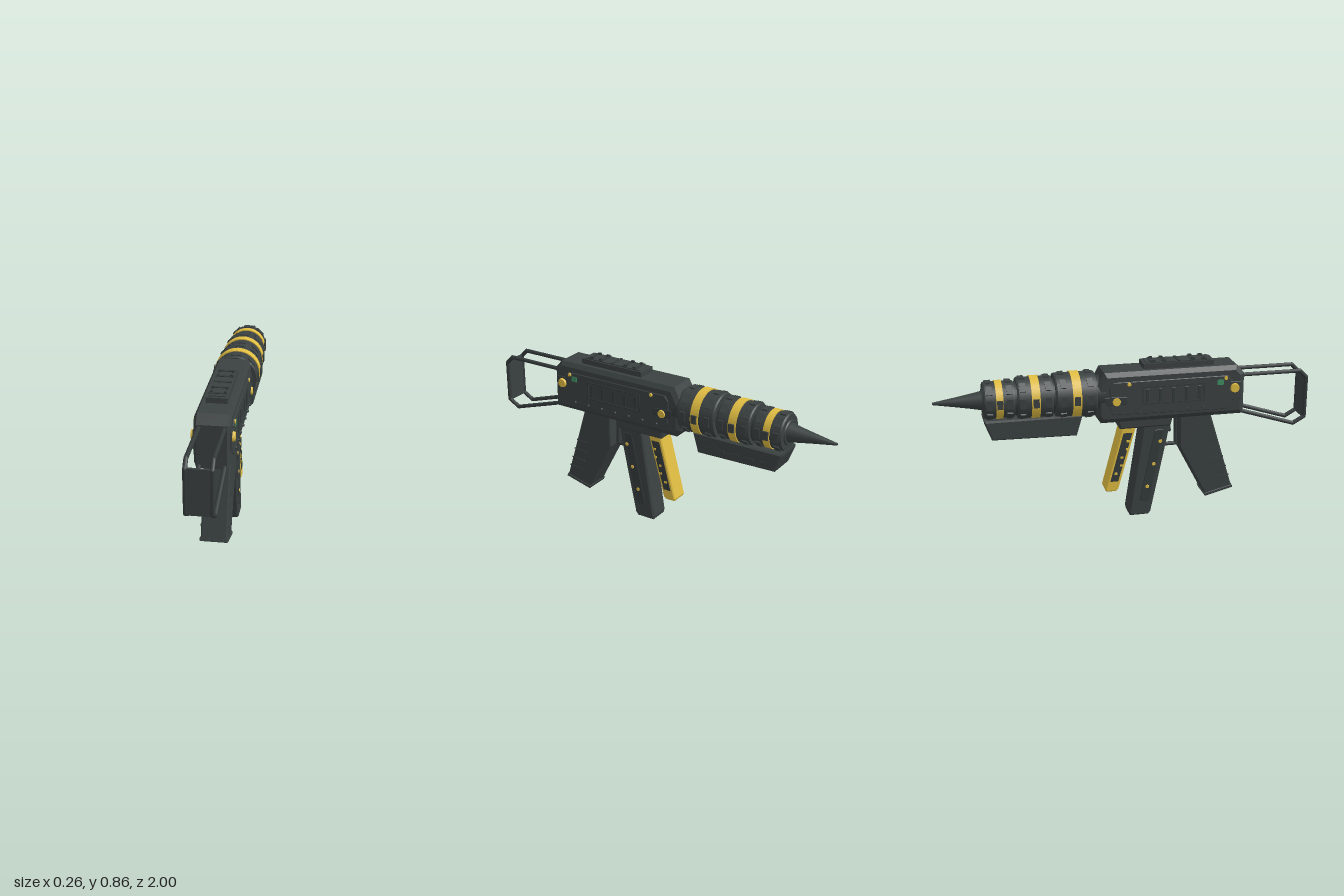
import * as THREE from 'three';

const mat = (name, color) => {
  const m = new THREE.MeshStandardMaterial({ color });
  m.name = name;
  return m;
};

export function createModel() {
  const gun = new THREE.Group();
  const metal = mat('gunmetal', 0x3b4141);
  const dark = mat('dark metal', 0x343a3a);
  const gold = mat('gold', 0xe0bd42);
  const green = mat('green light', 0x3f8f63);

  const add = (name, geo, m) => {
    const mesh = new THREE.Mesh(geo, m);
    mesh.name = name;
    gun.add(mesh);
    return mesh;
  };
  const box = (name, m, w, h, d, x, y, z) => {
    const b = add(name, new THREE.BoxGeometry(w, h, d), m);
    b.position.set(x, y, z);
    return b;
  };
  // Side outline of [z, y] points, extruded across x from x0 to x1
  const side = (name, m, pts, x0, x1, bevel = 0, bevelSize = bevel) => {
    const shape = new THREE.Shape(pts.map(p => new THREE.Vector2(p[0], p[1])));
    const geo = new THREE.ExtrudeGeometry(shape, {
      depth: x1 - x0 - 2 * bevel, bevelEnabled: bevel > 0, bevelThickness: bevel,
      bevelSize, bevelOffset: -bevelSize, bevelSegments: 1,
    });
    geo.rotateY(-Math.PI / 2);
    geo.translate(x1 - bevel, 0, 0);
    return add(name, geo, m);
  };
  // Same thin plate on both flanks
  const plates = (name, m, pts, x, t, bevel = 0) => {
    side(name + 'Left', m, pts, x, x + t, bevel);
    side(name + 'Right', m, pts, -x - t, -x, bevel);
  };
  const rect = (z0, z1, y0, y1) => [[z0, y0], [z1, y0], [z1, y1], [z0, y1]];
  // Round stud on both flanks
  const studs = (name, m, r, h, x, y, z, n = 10) => {
    for (const s of [-1, 1]) {
      const c = add(name, new THREE.CylinderGeometry(r * 0.85, r, h, n), m);
      c.rotation.z = -s * Math.PI / 2;
      c.position.set(s * (x + h / 2), y, z);
    }
  };
  const drum = (name, m, r0, r1, z0, z1, y) => {
    const geo = new THREE.CylinderGeometry(r1, r0, z1 - z0, 32);
    geo.rotateX(Math.PI / 2);
    geo.translate(0, y, (z0 + z1) / 2);
    return add(name, geo, m);
  };
  // Bent rod through a list of [x, y, z] points
  const rod = (name, m, r, pts) => {
    const v = pts.map(p => new THREE.Vector3(...p));
    v.forEach((p, i) => {
      add(name + 'Joint', new THREE.SphereGeometry(r, 10, 8), m).position.copy(p);
      if (!i) return;
      const d = p.clone().sub(v[i - 1]);
      const c = add(name, new THREE.CylinderGeometry(r, r, d.length(), 10), m);
      c.position.copy(p).add(v[i - 1]).multiplyScalar(0.5);
      c.quaternion.setFromUnitVectors(new THREE.Vector3(0, 1, 0), d.normalize());
    });
  };

  // Receiver
  side('receiver', metal, [[0.63, 0.55], [0.63, 0.775], [0.59, 0.82], [-0.125, 0.82],
    [-0.168, 0.74], [-0.168, 0.585], [-0.145, 0.55]], -0.09, 0.09, 0.016, 0.024);
  side('lowerReceiver', metal, [[0.25, 0.57], [0.235, 0.505], [-0.04, 0.505], [-0.055, 0.57]], -0.07, 0.07, 0.008);
  plates('receiverPanel', metal, [[0.555, 0.6], [0.555, 0.745], [0.535, 0.77], [-0.08, 0.77],
    [-0.1, 0.745], [-0.1, 0.615], [-0.08, 0.595], [0.535, 0.585]], 0.086, 0.009, 0.003);
  plates('ventFrameTop', dark, rect(0.07, 0.41, 0.733, 0.74), 0.095, 0.004);
  plates('ventFrameBottom', dark, rect(0.07, 0.41, 0.642, 0.649), 0.095, 0.004);
  for (const z of [0.07, 0.403]) plates('ventFrameEnd', dark, rect(z, z + 0.007, 0.642, 0.74), 0.095, 0.004);
  for (let i = 0; i < 5; i++) {
    const z = 0.1 + i * 0.07;
    plates('ventSlot', dark, rect(z - 0.009, z + 0.009, 0.655, 0.728), 0.095, 0.004, 0.002);
  }
  plates('rearCatch', metal, rect(0.535, 0.61, 0.635, 0.735), 0.088, 0.006, 0.002);
  plates('frontCatch', dark, [[-0.005, 0.65], [-0.01, 0.69], [-0.13, 0.695], [-0.115, 0.65]], 0.094, 0.006, 0.002);
  plates('greenLight', green, rect(0.478, 0.512, 0.722, 0.75), 0.094, 0.004);
  studs('largeStud', gold, 0.027, 0.016, 0.09, 0.7, 0.575, 12);
  studs('largeStud', gold, 0.024, 0.014, 0.093, 0.668, -0.065, 12);
  studs('smallStud', gold, 0.011, 0.007, 0.094, 0.757, 0.525);
  studs('smallStud', gold, 0.011, 0.007, 0.094, 0.757, 0.003);
  for (let i = 0; i < 7; i++) studs('lowerRivet', metal, 0.008, 0.01, 0.093, 0.603, -0.03 + i * 0.087, 8);

  // Top rail
  box('topRail', metal, 0.106, 0.03, 0.38, 0, 0.833, 0.28);
  box('topRailStep', metal, 0.088, 0.008, 0.35, 0, 0.849, 0.28);
  for (let i = 0; i < 5; i++) box('railRib', dark, 0.09, 0.008, 0.014, 0, 0.853, 0.135 + i * 0.0725);
  for (const z of [0.145, 0.2, 0.36, 0.415])
    for (const x of [-0.034, 0.034]) box('railKnob', dark, 0.012, 0.012, 0.018, x, 0.857, z);

  // Barrel drums: radius, ends, band centre and half width, lug spacing
  const by = 0.695;
  drum('barrelCore', dark, 0.085, 0.095, -0.735, -0.12, by);
  for (const [r, z0, z1, zb, half, gap] of [[0.119, -0.38, -0.166, -0.272, 0.023, 0.07],
    [0.109, -0.575, -0.392, -0.483, 0.022, 0.065], [0.096, -0.745, -0.587, -0.666, 0.018, 0.051]]) {
    drum('barrelDrum', metal, r - 0.004, r, z0, z0 + 0.008, by);
    drum('barrelDrum', metal, r, r, z0 + 0.008, z1 - 0.008, by);
    drum('barrelDrum', metal, r, r - 0.004, z1 - 0.008, z1, by);
    drum('goldBand', gold, r + 0.005, r + 0.005, zb - half, zb + half, by);
    for (let i = 0; i < 8; i++) {
      const a = i * Math.PI / 4;
      const lug = (dz, w, l, h) => {
        const b = box('barrelLug', metal, h, w, l, Math.cos(a) * r, by + Math.sin(a) * r, zb + dz);
        b.rotation.z = a;
      };
      lug(-gap, 0.05, 0.03, 0.009);
      lug(gap, 0.05, 0.03, 0.009);
      // Clasps over the band on the two flanks only
      if (i % 4 === 0) lug(0, 0.045, 0.03, 0.022);
    }
  }
  // Muzzle spike
  drum('muzzleCollar', metal, 0.06, 0.07, -0.752, -0.735, by);
  const spike = new THREE.LatheGeometry([[0, -1], [0.006, -1], [0.025, -0.885], [0.038, -0.81], [0.051, -0.745]]
    .map(p => new THREE.Vector2(p[0], p[1])), 24);
  spike.rotateX(Math.PI / 2);
  add('muzzleSpike', spike, metal).position.y = by;

  // Fore-end under the barrel
  side('foreEnd', metal, [[-0.24, 0.605], [-0.245, 0.585], [-0.272, 0.493], [-0.712, 0.5], [-0.747, 0.59], [-0.747, 0.605]],
    -0.085, 0.085, 0.012, 0.008);
  for (let i = 0; i < 5; i++) {
    const z = -0.33 - i * 0.08;
    plates('foreEndSlot', metal, rect(z - 0.022, z + 0.022, 0.53, 0.545), 0.083, 0.004);
  }

  // Magazine
  side('magazine', metal, [[0.45, 0.57], [0.285, 0.57], [0.288, 0.375], [0.437, 0.09], [0.584, 0.13]], -0.067, 0.067, 0.006);
  side('magazineFoot', metal, [[0.585, 0.137], [0.59, 0.121], [0.435, 0.082], [0.427, 0.098]], -0.072, 0.072, 0.003);
  [0.36, 0.302, 0.244, 0.19].forEach(y => {
    const z = 0.5 - (y - 0.19) * 0.31;
    plates('magazineRib', metal, [[z - 0.02, y - 0.004], [z + 0.065, y + 0.003], [z + 0.065, y + 0.01], [z - 0.02, y + 0.003]], 0.066, 0.004);
  });

  // Main grip
  side('grip', metal, [[0.235, 0.53], [0.09, 0.53], [0.013, 0.022], [0.017, 0], [0.118, 0], [0.131, 0.016], [0.22, 0.44]],
    -0.06, 0.06, 0.008);
  plates('gripPanel', dark, [[0.198, 0.485], [0.15, 0.485], [0.068, 0.09], [0.105, 0.075], [0.125, 0.1]], 0.058, 0.005, 0.002);
  for (const [z, y] of [[0.18, 0.42], [0.145, 0.293], [0.11, 0.165]]) studs('gripStud', gold, 0.011, 0.004, 0.062, y, z);

  // Trigger and guard
  rod('triggerGuard', dark, 0.011, [[0, 0.56, 0.28], [0, 0.38, 0.28], [0, 0.38, 0.2]]);
  side('trigger', metal, [[0.235, 0.53], [0.252, 0.46], [0.24, 0.45], [0.225, 0.49], [0.205, 0.52]], -0.015, 0.015);

  // Gold foregrip
  side('foreGrip', gold, [[0.055, 0.52], [-0.022, 0.52], [-0.117, 0.16], [-0.112, 0.147], [-0.058, 0.147], [-0.045, 0.16]],
    -0.05, 0.05, 0.006);
  plates('foreGripPanel', dark, [[0.03, 0.475], [-0.018, 0.475], [-0.09, 0.205], [-0.048, 0.205]], 0.048, 0.004);
  for (let i = 0; i < 5; i++) {
    const t = i / 4, z = 0.012 - t * 0.067 + (i % 2 ? 0.008 : -0.005), y = 0.43 - t * 0.18;
    plates('foreGripNotch', gold, rect(z - 0.008, z + 0.008, y - 0.006, y + 0.006), 0.05, 0.004);
  }

  // Wire stock with butt plate
  for (const x of [-0.062, 0.062]) {
    rod('stockRod', dark, 0.011, [[x, 0.76, 0.6], [x, 0.76, 0.95], [x, 0.722, 0.987],
      [x, 0.5, 0.987], [x, 0.465, 0.925], [x, 0.567, 0.6]]);
  }
  box('buttPlate', metal, 0.124, 0.235, 0.014, 0, 0.612, 0.987);
  return gun;
}
